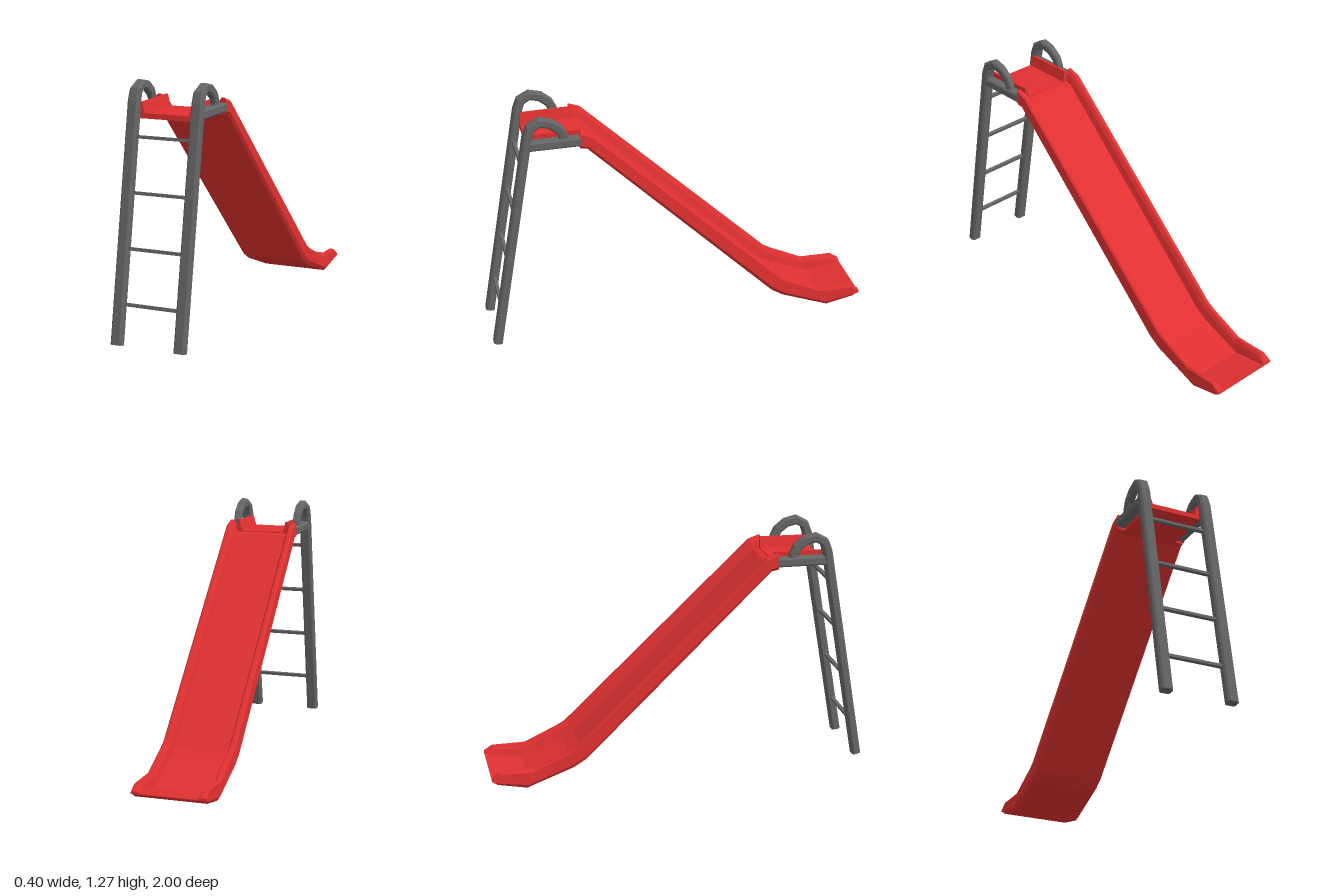
import * as THREE from 'three';

const red = new THREE.MeshStandardMaterial({ color: 0xe03030, flatShading: true });
const grey = new THREE.MeshStandardMaterial({ color: 0x666666, flatShading: true });

// Skin a series of closed rings of Vector3; outline is the 2D section used to cap the ends.
function loft(rings, outline) {
  const n = outline.length;
  const index = [];
  for (let i = 0; i < rings.length - 1; i++) {
    for (let j = 0; j < n; j++) {
      const a = i * n + j, b = i * n + (j + 1) % n;
      index.push(a, a + n, b, b, a + n, b + n);
    }
  }
  const last = (rings.length - 1) * n;
  for (const [a, b, c] of THREE.ShapeUtils.triangulateShape(outline, [])) {
    index.push(a, b, c, last + a, last + c, last + b);
  }
  const geo = new THREE.BufferGeometry().setFromPoints(rings.flat());
  geo.setIndex(index);
  const flat = geo.toNonIndexed();
  flat.computeVertexNormals();
  return flat;
}

const section = (points) => points.map(([x, y]) => new THREE.Vector2(x, y));

// Trough with side walls: each station gives the bottom and wall-top points as [z, y].
function trough(stations, outline) {
  return loft(stations.map(([bz, by, tz, ty]) => outline.map((p) => new THREE.Vector3(
    p.x, by + (ty - by) * p.y, bz + (tz - bz) * p.y))), outline);
}

// Bar swept along [z, y, widthScale] points in a vertical plane at the given x.
function bar(path, outline, x) {
  const rings = path.map(([z, y, s = 1], i) => {
    const p = path[Math.max(i - 1, 0)], q = path[Math.min(i + 1, path.length - 1)];
    const len = Math.hypot(q[0] - p[0], q[1] - p[1]);
    const nz = (q[1] - p[1]) / len, ny = (p[0] - q[0]) / len;
    return outline.map((o) => new THREE.Vector3(x + o.x * s, y + ny * o.y, z + nz * o.y));
  });
  return loft(rings, outline);
}

// Rectangle with chamfered corners, counter-clockwise
function chamfered(w, h, c) {
  return section([[-w + c, -h], [w - c, -h], [w, -h + c], [w, h - c],
    [w - c, h], [-w + c, h], [-w, h - c], [-w, -h + c]]);
}

export function createModel() {
  const model = new THREE.Group();
  const add = (name, geo, mat) => {
    const mesh = new THREE.Mesh(geo, mat);
    mesh.name = name;
    model.add(mesh);
    return mesh;
  };

  // Chute: level lip, long slope, curved run-out with upturned end
  const chuteSection = section([[-0.183, 0], [0.183, 0], [0.195, 0.2], [0.19, 0.9], [0.182, 1],
    [0.165, 1], [0.153, 0.75], [0.143, 0.3], [-0.143, 0.3], [-0.153, 0.75], [-0.165, 1],
    [-0.182, 1], [-0.19, 0.9], [-0.195, 0.2]]);
  add('chute', trough([
    [0.51, 1.09, 0.51, 1.175],
    [0.475, 1.085, 0.45, 1.155],
    [-0.505, 0.135, -0.56, 0.205],
    [-0.57, 0.095, -0.605, 0.18],
    [-0.82, 0.003, -0.78, 0.1],
    [-0.97, 0.035, -0.955, 0.1],
    [-1, 0.055, -1, 0.07],
  ], chuteSection), red);

  // Platform between the handles
  const platformSection = section([[-0.143, 0], [0.143, 0], [0.145, 1], [0.132, 1],
    [0.118, 0.33], [-0.118, 0.33], [-0.132, 1], [-0.145, 1]]);
  add('platform', trough([
    [0.77, 1.09, 0.765, 1.168],
    [0.5, 1.09, 0.5, 1.175],
  ], platformSection), red);

  // Ladder posts that bend over into handles, and rails beside the platform
  const postPath = [[0.976, 0.014], [0.772, 1.175], [0.755, 1.222, 0.95], [0.71, 1.247, 0.8],
    [0.655, 1.235, 0.7], [0.61, 1.2, 0.65], [0.592, 1.165, 0.6], [0.592, 1.13, 0.6]];
  const postSection = chamfered(0.029, 0.023, 0.009);
  const railSection = chamfered(0.027, 0.024, 0.008);
  for (const [side, s] of [['left', 1], ['right', -1]]) {
    add(side + 'PostAndHandle', bar(postPath, postSection, s * 0.17), grey);
    add(side + 'PlatformRail', bar([[0.775, 1.124], [0.505, 1.128]], railSection, s * 0.168), grey);
  }

  // Ladder rungs, set along the lean of the posts
  for (const y of [0.21, 0.475, 0.74, 1.005]) {
    const rung = add('rung', new THREE.BoxGeometry(0.3, 0.016, 0.018), grey);
    rung.position.set(0, y, 0.976 - 0.1757 * (y - 0.014));
    rung.rotation.x = -0.17;
  }

  return model;
}
